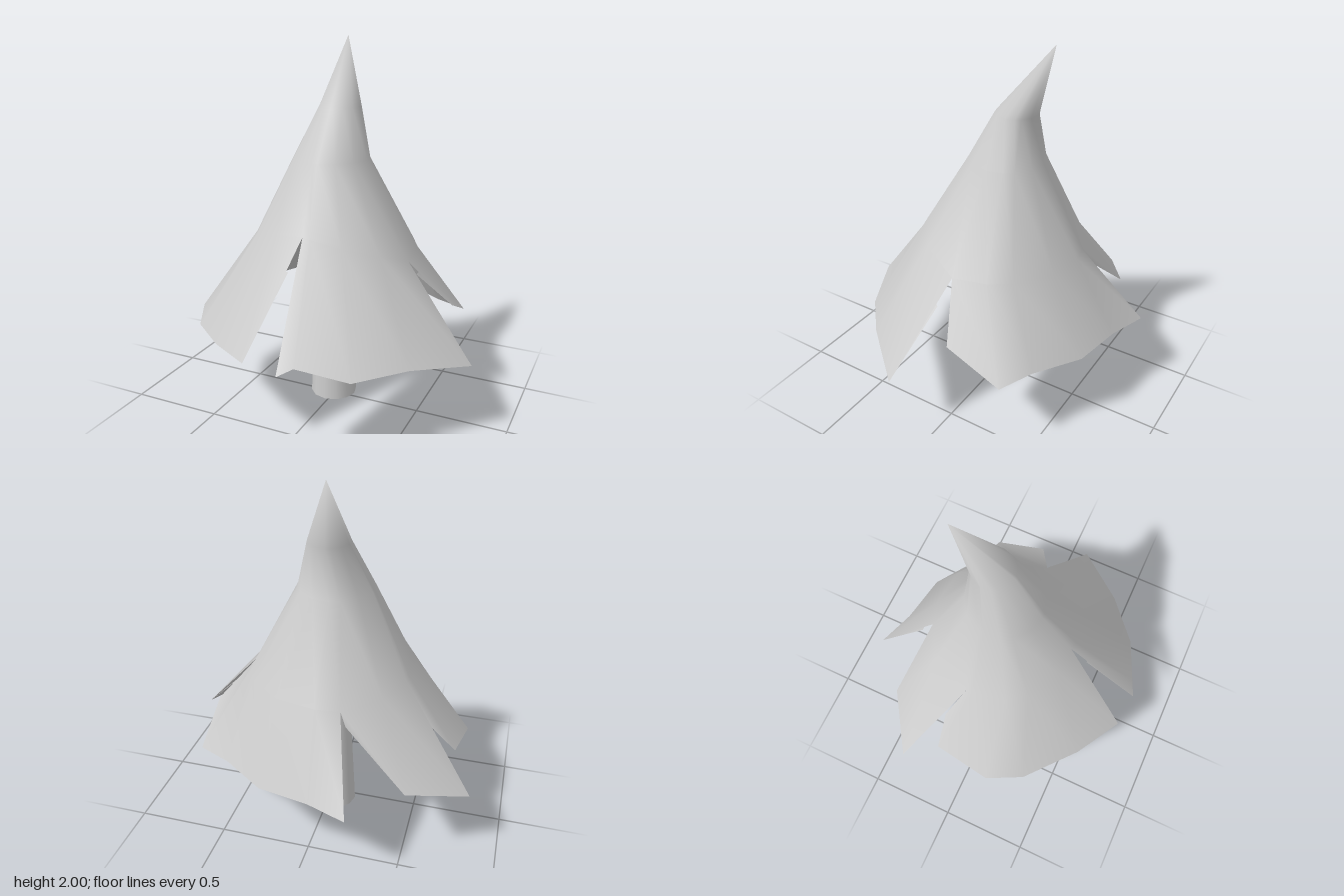
import * as THREE from 'three';
import { mergeVertices } from 'three/addons/utils/BufferGeometryUtils.js';

const TAU = Math.PI * 2;
const lerp = THREE.MathUtils.lerp;

// tops of the four slits: front, left, back, right
const slits = [[-0.02, 1.04, 0.34], [0.43, 0.87, 0.01], [-0.16, 0.88, -0.43], [-0.43, 0.9, -0.09]];

// ragged hem of the flap that follows each slit
const hems = [
  [[0.045, 0.48, 0.76], [0.12, 0.52, 0.72], [0.37, 0.45, 0.62], [0.59, 0.47, 0.42], [0.825, 0.415, 0.14]],
  [[0.645, 0.62, -0.1], [0.635, 0.48, -0.4], [0.45, 0.48, -0.48], [0.215, 0.48, -0.64], [-0.06, 0.48, -0.69], [-0.27, 0.48, -0.765]],
  [[-0.19, 0.8, -0.44], [-0.52, 0.51, -0.53], [-0.83, 0.415, -0.34]],
  [[-0.56, 0.71, -0.165], [-0.72, 0.55, -0.15], [-0.76, 0.48, 0.17], [-0.66, 0.45, 0.36], [-0.4, 0.485, 0.59], [-0.15, 0.5, 0.74]],
];

const angle = (p) => Math.atan2(p[0], p[2]);
const unwrap = (a, from) => (a < from - 0.5 ? a + TAU : a);
const ringPoint = (a, cx, y, cz, r) => [cx + r * Math.sin(a), y, cz + r * Math.cos(a)];

// one column of the canopy: the outer skin from tip to hem, and the turned-up lining
function column(hem, t, s0, s1) {
  const a0 = angle(s0);
  const a = lerp(a0, unwrap(angle(s1), a0), t);
  const bulge = 4 * t * (1 - t);
  const r = lerp(Math.hypot(s0[0], s0[2]), Math.hypot(s1[0], s1[2]), t) * (1 + 0.05 * bulge);
  const hip = ringPoint(a, 0, lerp(s0[1], s1[1], t) + 0.03 * bulge, 0, r);
  const fold = hip.map((v, i) => lerp(hem[i], v, 0.7) * (i === 1 ? 1 : 0.94));
  return {
    skin: [
      [-0.05, 2, -0.285],
      ringPoint(a, -0.012, 1.645, -0.1, 0.112),
      ringPoint(a, -0.033, 1.38, -0.035, 0.205),
      hip,
      hem,
    ],
    lining: [fold, hem],
  };
}

const flaps = hems.map((hem, i) => {
  const s0 = slits[i], s1 = slits[(i + 1) % slits.length];
  const first = angle(hem[0]);
  const angles = hem.map((p) => unwrap(angle(p), first));
  const span = angles[angles.length - 1] - first;
  return hem.map((p, j) => column(p, (angles[j] - first) / span, s0, s1));
});

// surface over one layer of every flap, with shared points welded for smooth shading
function surface(name, layer, material) {
  const pos = [];
  for (const flap of flaps) {
    for (let j = 0; j < flap.length - 1; j++) {
      const left = flap[j][layer], right = flap[j + 1][layer];
      for (let r = 0; r < left.length - 1; r++) {
        pos.push(...left[r], ...left[r + 1], ...right[r + 1]);
        // the tip row needs only one triangle per column
        if (left[r] !== right[r] && !(layer === 'skin' && r === 0)) {
          pos.push(...left[r], ...right[r + 1], ...right[r]);
        }
      }
    }
  }
  let geo = new THREE.BufferGeometry();
  geo.setAttribute('position', new THREE.Float32BufferAttribute(pos, 3));
  geo = mergeVertices(geo, 1e-4);
  geo.computeVertexNormals();
  const mesh = new THREE.Mesh(geo, material);
  mesh.name = name;
  return mesh;
}

export function createModel() {
  const group = new THREE.Group();
  group.name = 'tree';
  const leafMaterial = new THREE.MeshStandardMaterial({ color: 0xcccccc, side: THREE.DoubleSide });

  // canopy: slit outer skin and the short lining folded up from its hem
  group.add(surface('canopy', 'skin', leafMaterial));
  group.add(surface('canopyLining', 'lining', leafMaterial));

  // tapered trunk
  const trunk = new THREE.Mesh(
    new THREE.CylinderGeometry(0.093, 0.13, 0.65, 12),
    new THREE.MeshStandardMaterial({ color: 0xcccccc }),
  );
  trunk.position.set(-0.02, 0.325, -0.035);
  trunk.name = 'trunk';
  group.add(trunk);
  return group;
}
